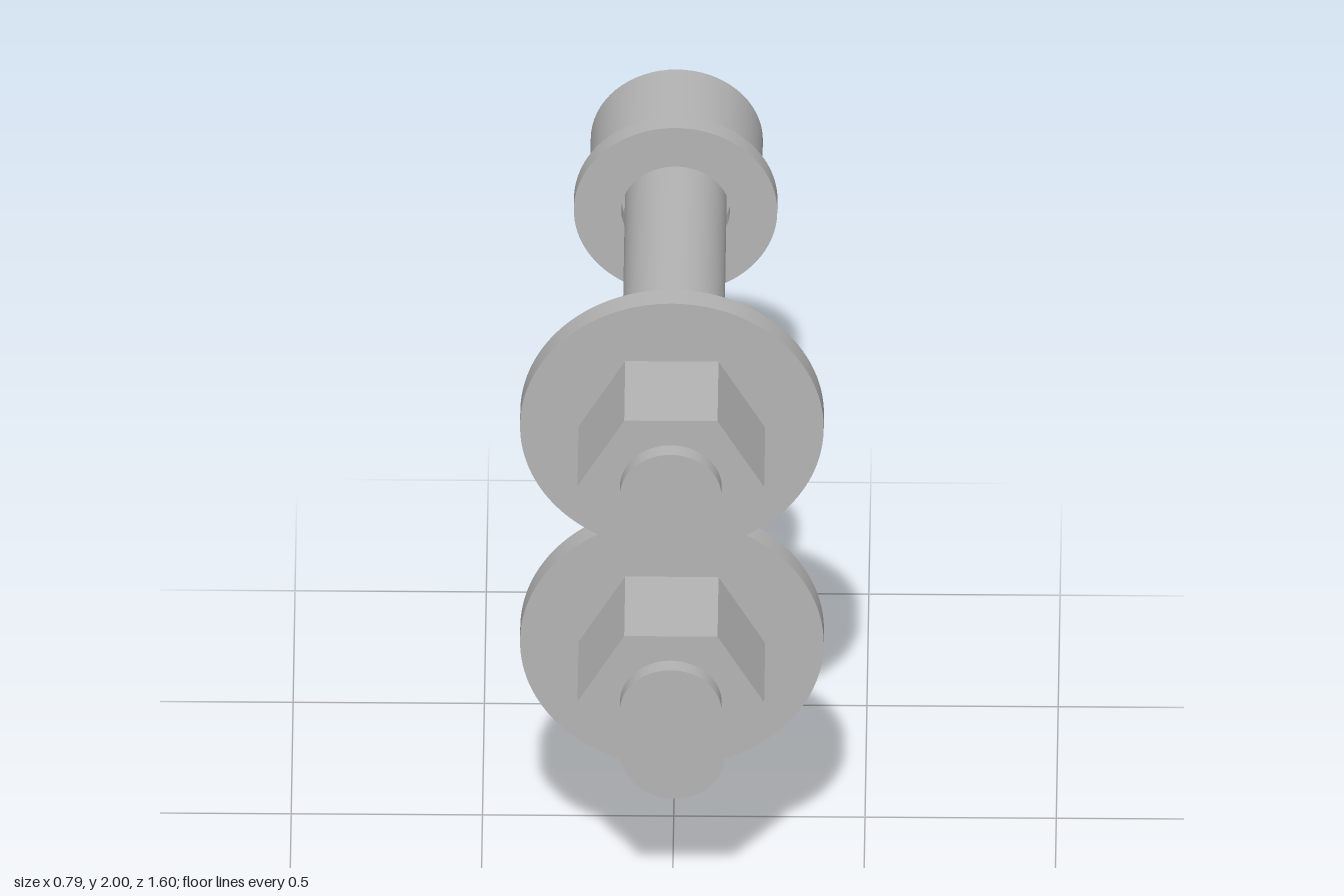
import * as THREE from 'three';
import { toCreasedNormals } from 'three/addons/utils/BufferGeometryUtils.js';

const SHAFT_R = 0.133, HOLE_R = 0.142, PLATE_R = 0.397;
const TOP_Y = 1.603, MID_Y = 0.91, LOW_Y = 0.266;

export function createModel() {
  const steel = new THREE.MeshStandardMaterial({ color: 0xb4b4b4 });
  steel.name = 'grey steel';
  const model = new THREE.Group();
  model.name = 'boltSet';

  function add(parent, name, geometry) {
    const mesh = new THREE.Mesh(geometry, steel);
    mesh.name = name;
    parent.add(mesh);
  }

  // Cylinder or prism lying along z
  function rod(radius, z0, z1, sides = 64) {
    const g = new THREE.CylinderGeometry(radius, radius, z1 - z0, sides);
    g.rotateX(Math.PI / 2);
    g.translate(0, 0, (z0 + z1) / 2);
    return g;
  }

  // Flat plate extruded along z, with round holes at the given heights
  function plate(shape, holeHeights, z0, z1) {
    for (const y of holeHeights) {
      shape.holes.push(new THREE.Path().absarc(0, y, HOLE_R, 0, Math.PI * 2, true));
    }
    const g = new THREE.ExtrudeGeometry(shape, {
      depth: z1 - z0, bevelEnabled: false, curveSegments: 48,
    });
    g.translate(0, 0, z0);
    return toCreasedNormals(g, 0.6);
  }

  // Bolts: round head, small washer and shaft, two with a hexagonal nut
  const bolts = [
    { name: 'topBolt', y: TOP_Y, end: 0.8, nut: true },
    { name: 'middleBolt', y: MID_Y, end: 0.8, nut: true },
    { name: 'shortBolt', y: LOW_Y, end: 0.107, nut: false },
  ];
  for (const { name, y, end, nut } of bolts) {
    const bolt = new THREE.Group();
    bolt.name = name;
    bolt.position.y = y;
    add(bolt, 'head', rod(0.225, -0.8, -0.532));
    add(bolt, 'shaft', rod(SHAFT_R, -0.54, end));
    const ring = new THREE.Shape().absarc(0, 0, 0.266, 0, Math.PI * 2);
    add(bolt, 'smallWasher', plate(ring, [0], -0.532, -0.48));
    if (nut) {
      const hex = rod(0.244, 0.49, 0.757, 6);
      hex.rotateZ(Math.PI / 6); // corners point to left and right
      add(bolt, 'nut', toCreasedNormals(hex, 0.5));
    }
    model.add(bolt);
  }

  // Two large washers merged into one figure-eight plate
  const notch = Math.asin((TOP_Y - MID_Y) / 2 / PLATE_R);
  const outline = new THREE.Shape();
  outline.absarc(0, TOP_Y, PLATE_R, -notch, Math.PI + notch, false);
  outline.absarc(0, MID_Y, PLATE_R, Math.PI - notch, Math.PI * 2 + notch, false);
  add(model, 'largeWashers', plate(outline, [TOP_Y, MID_Y], 0.427, 0.49));

  // Orient the nuts' flats to the top and bottom
  model.traverse((o) => {
    if (o.name === 'nut') {
      o.geometry.computeBoundingBox();
      const b = o.geometry.boundingBox;
      if (b.max.y > b.max.x) o.rotation.z = Math.PI / 6;
    }
  });
  return model;
}
